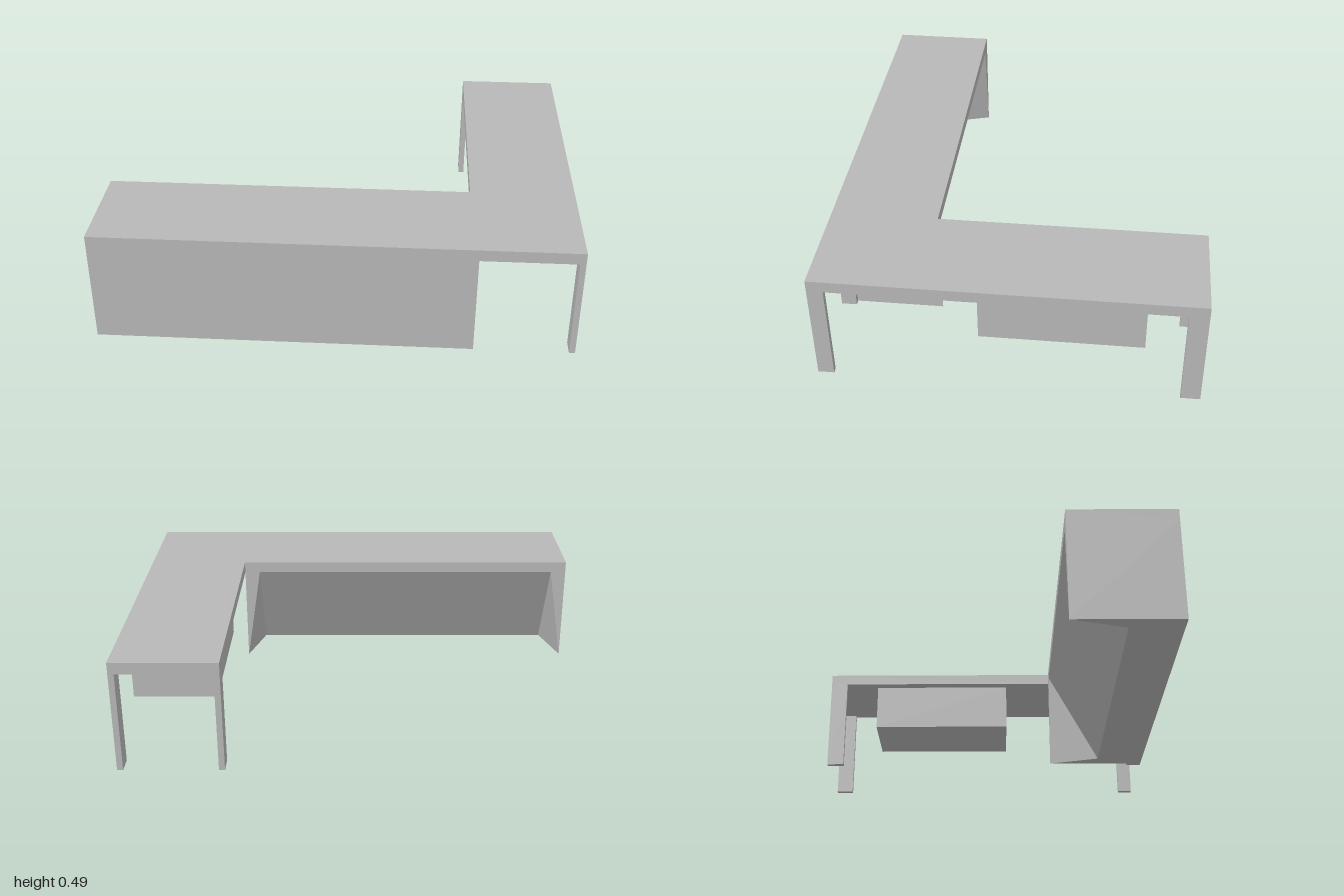
import * as THREE from 'three';

export function createModel() {
  const model = new THREE.Group();
  const grey = new THREE.MeshStandardMaterial({ color: 0xb8b8b8 });
  grey.name = 'plain grey';

  const R = 0.555, L = -1, F = 0.785, B = 0.335; // main wing outline
  const H = 0.44, TOP = 0.49;                    // underside and top of the worktop

  const add = (name, geometry) => {
    const mesh = new THREE.Mesh(geometry, grey);
    mesh.name = name;
    model.add(mesh);
  };
  const addBox = (name, x0, x1, y0, y1, z0, z1) => add(name,
    new THREE.BoxGeometry(x1 - x0, y1 - y0, z1 - z0)
      .translate((x0 + x1) / 2, (y0 + y1) / 2, (z0 + z1) / 2));

  // L-shaped worktop, extruded upwards
  const outline = new THREE.Shape(
    [[L, -F], [1, -F], [1, F], [R, F], [R, -B], [L, -B]].map(([x, y]) => new THREE.Vector2(x, y)));
  add('worktop', new THREE.ExtrudeGeometry(outline, { depth: TOP - H, bevelEnabled: false })
    .rotateX(-Math.PI / 2).translate(0, H, 0));

  // Counter body: upright front and ends, slanted knee panel, tapered cheeks
  const inset = 0.07, kneeZ = 0.567;
  const points = [
    [L, 0, F], [R, 0, F], [R, H, F], [L, H, F],
    [L, 0, B], [R, 0, B], [R, H, B], [L, H, B],
    [L + inset, 0, kneeZ], [R - inset, 0, kneeZ], [R - inset, H, B], [L + inset, H, B],
  ];
  const faces = [
    [0, 1, 2, 3], [1, 5, 6, 2], [4, 0, 3, 7], [3, 2, 6, 7], // front, ends, top
    [9, 8, 11, 10],                                         // knee panel
    [6, 5, 10], [7, 11, 4], [5, 9, 10], [8, 4, 11],         // cheeks
    [0, 4, 8], [0, 8, 9, 1], [9, 5, 1],                     // underside
  ];
  const positions = [];
  for (const f of faces)
    for (let i = 1; i < f.length - 1; i++)
      for (const k of [f[0], f[i], f[i + 1]]) positions.push(...points[k]);
  const body = new THREE.BufferGeometry();
  body.setAttribute('position', new THREE.Float32BufferAttribute(positions, 3));
  body.computeVertexNormals();
  add('counterBody', body);

  // Flat legs under the side wing
  for (const [side, x] of [['left', 0.975], ['right', R]]) {
    addBox(side + 'FrontLeg', x, x + 0.025, 0, H, 0.718, F);
    addBox(side + 'BackLeg', x, x + 0.025, 0, H, -F, -0.705);
  }

  // Drawer box hung under the side wing
  addBox('drawerBox', 0.6, 0.955, 0.22, H, -0.55, 0.118);

  return model;
}
